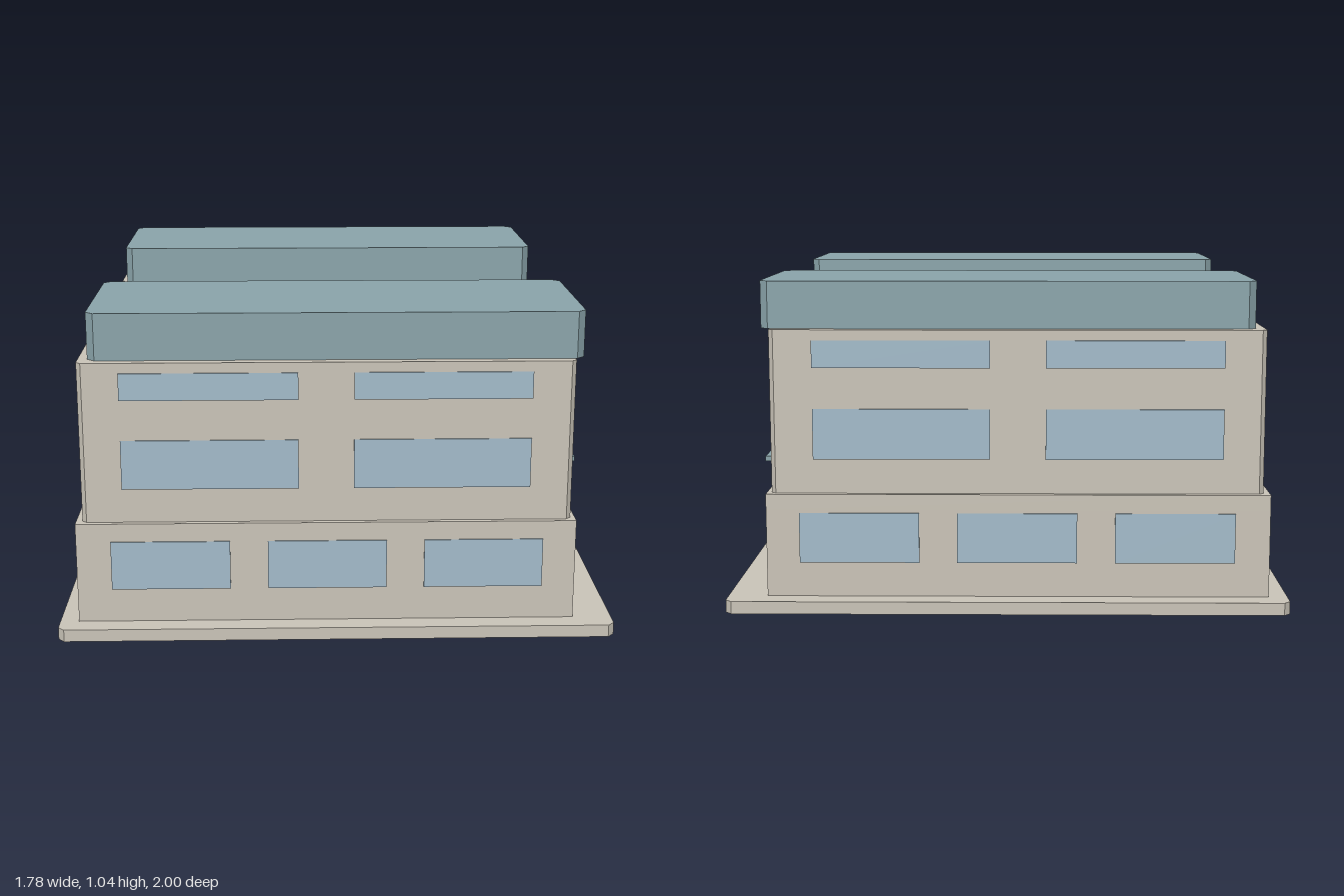
import * as THREE from 'three';

const mat = (name, color) => {
  const m = new THREE.MeshStandardMaterial({ color });
  m.name = name;
  return m;
};

export function createModel() {
  const building = new THREE.Group();
  building.name = 'building';
  const stone = mat('stone', 0xcbc5b9);
  const teal = mat('teal', 0x8ba5ab);
  const glass = mat('glass', 0xa4bccb);

  const add = (name, geometry, material) => {
    const mesh = new THREE.Mesh(geometry, material);
    mesh.name = name;
    building.add(mesh);
    return mesh;
  };

  // Upright prism over a plan outline of [x, z] points
  const prism = (name, points, y0, y1, material) => {
    const shape = new THREE.Shape(points.map(([x, z]) => new THREE.Vector2(x, -z)));
    const geo = new THREE.ExtrudeGeometry(shape, { depth: y1 - y0, bevelEnabled: false });
    geo.rotateX(-Math.PI / 2).translate(0, y0, 0);
    return add(name, geo, material);
  };

  // Block with cut vertical corners
  const block = (name, x0, x1, y0, y1, z0, z1, c, material) => prism(name, [
    [x0 + c, z0], [x1 - c, z0], [x1, z0 + c], [x1, z1 - c],
    [x1 - c, z1], [x0 + c, z1], [x0, z1 - c], [x0, z0 + c],
  ], y0, y1, material);

  const box = (name, x0, x1, y0, y1, z0, z1, material) => {
    const geo = new THREE.BoxGeometry(x1 - x0, y1 - y0, z1 - z0);
    geo.translate((x0 + x1) / 2, (y0 + y1) / 2, (z0 + z1) / 2);
    return add(name, geo, material);
  };

  // Plinth
  block('plinth', -0.89, 0.89, 0, 0.04, -1, 1, 0.02, stone);

  // Ground floor with an entrance recess on the +x side
  prism('groundFloor', [
    [-0.83, -0.93], [0.765, -0.93], [0.765, -0.18], [0.42, -0.18],
    [0.42, 0.18], [0.765, 0.18], [0.765, 0.93], [-0.83, 0.93],
  ], 0.04, 0.32, stone);
  box('groundFloorSlab', -0.83, 0.765, 0.32, 0.37, -0.93, 0.93, stone);

  // Upper floors: rear block joining two wings around an open terrace
  block('rearBlock', -0.81, -0.52, 0.37, 0.89, -0.455, 0.455, 0.013, stone);
  for (const s of [1, -1]) {
    const span = (a, b) => (s > 0 ? [a, b] : [-b, -a]);
    block('wing', -0.81, 0.75, 0.37, 0.89, ...span(0.455, 0.912), 0.015, stone);
    block('wingRoof', -0.78, 0.78, 0.89, 1.04, ...span(0.34, 0.88), 0.025, teal);
    box('terraceKerb', 0.72, 0.745, 0.37, 0.42, ...span(0.35, 0.46), stone);
    box('doorPost', 0.765, 0.79, 0.04, 0.335, ...span(0.17, 0.19), teal);
  }

  // Entrance lintel and canopy
  box('doorLintel', 0.765, 0.797, 0.32, 0.335, -0.17, 0.17, stone);
  box('doorCanopy', 0.765, 0.89, 0.338, 0.356, -0.195, 0.195, teal);

  // Windows on the long sides
  const t = 0.003;
  const upperRows = [[0.48, 0.64], [0.77, 0.857]];
  for (const s of [1, -1]) {
    const pane = (x0, x1, y0, y1, z) =>
      box('sideWindow', x0, x1, y0, y1, s * z - t, s * z + t, glass);
    for (const x of [-0.72, -0.22, 0.28]) pane(x, x + 0.38, 0.15, 0.31, 0.931);
    for (const [y0, y1] of upperRows)
      for (const x of [-0.68, 0.055]) pane(x, x + 0.56, y0, y1, 0.913);
  }

  // Windows on the entrance and rear ends; some span the open terrace
  const endPane = (x, y0, y1, z0, z1) =>
    box('endWindow', x - t, x + t, y0, y1, z0, z1, glass);
  const bays = [[-0.79, -0.355], [-0.217, 0.217], [0.355, 0.79]];
  for (const [z0, z1] of bays) {
    for (const [y0, y1] of upperRows)
      for (const x of [0.752, -0.811]) endPane(x, y0, y1, z0, z1);
    endPane(-0.831, 0.15, 0.305, z0, z1);
    if (z0 * z1 > 0) endPane(0.766, 0.15, 0.305, z0, z1);
  }

  return building;
}
